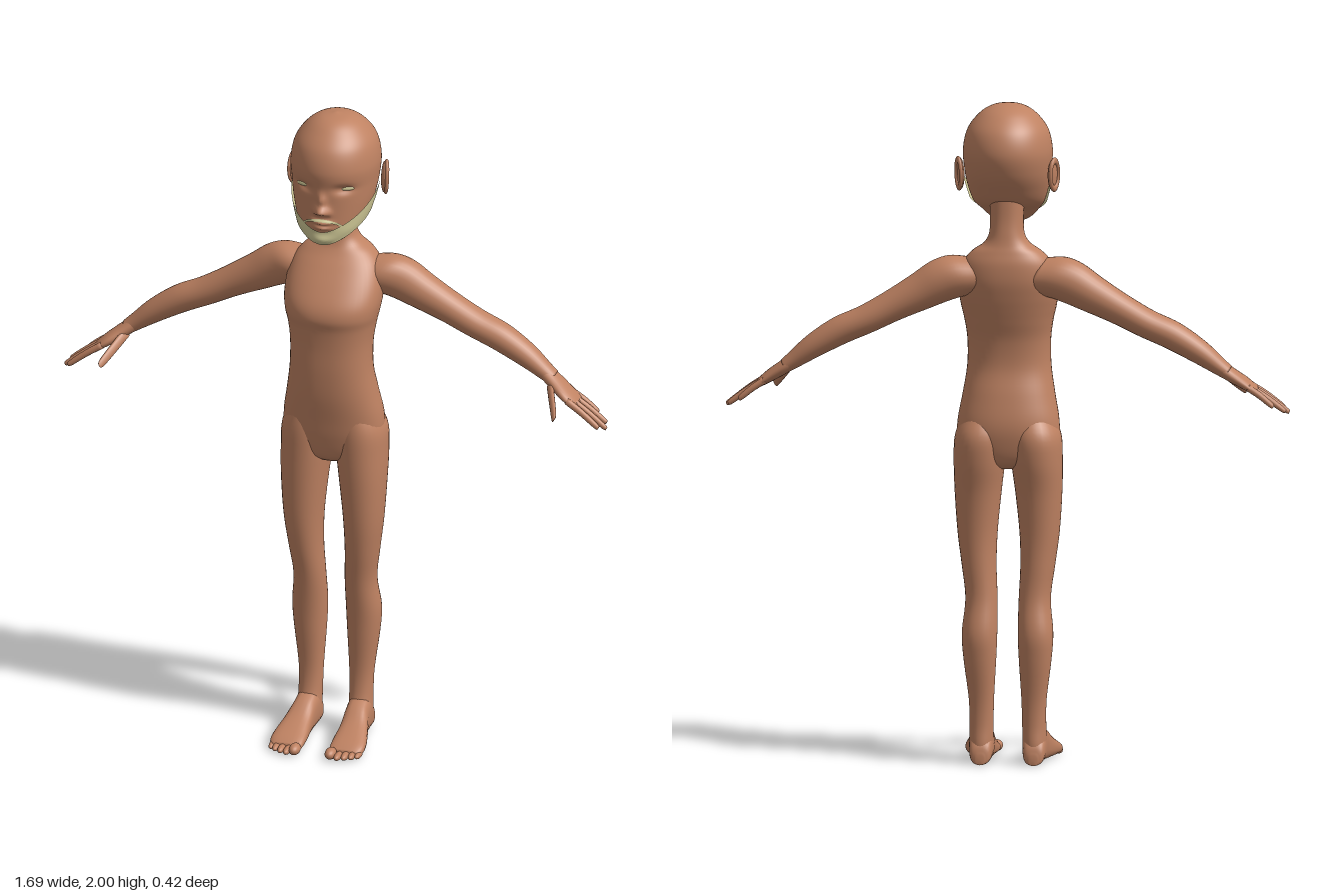
import * as THREE from 'three';

const skin = new THREE.MeshStandardMaterial({ color: 0xbf8262 });
skin.name = 'skin';
const pale = new THREE.MeshStandardMaterial({ color: 0xd2cb98, side: THREE.DoubleSide });
pale.name = 'paleKhaki';

const X = new THREE.Vector3(1, 0, 0), Y = new THREE.Vector3(0, 1, 0), Z = new THREE.Vector3(0, 0, 1);

// Horizontal section: height, half width, front z, back z, centre x
const level = (y, rx, front, back, x = 0) => [x, y, (front + back) / 2, rx, (front - back) / 2];

// Smooth surface through rings of [x, y, z, radiusA, radiusB]
function sampler(rings, a, b, power = 1) {
  const centres = new THREE.CatmullRomCurve3(rings.map(r => new THREE.Vector3(r[0], r[1], r[2])), false, 'catmullrom', 0.5);
  const radii = new THREE.CatmullRomCurve3(rings.map(r => new THREE.Vector3(r[3], r[4], 0)), false, 'catmullrom', 0.5);
  const pow = v => Math.sign(v) * Math.abs(v) ** power;
  return (t, angle) => {
    const r = radii.getPoint(t);
    return centres.getPoint(t)
      .addScaledVector(a, Math.max(r.x, 0.0005) * pow(Math.cos(angle)))
      .addScaledVector(b, Math.max(r.y, 0.0005) * pow(Math.sin(angle)));
  };
}

function meshOf(name, positions, index, material) {
  const g = new THREE.BufferGeometry();
  g.setAttribute('position', new THREE.Float32BufferAttribute(positions, 3));
  g.setIndex(index);
  g.computeVertexNormals();
  const m = new THREE.Mesh(g, material);
  m.name = name;
  return m;
}

// Closed tube over a surface function, capped at both ends
function skinTube(name, surface, forward, rows, segs) {
  const pos = [], index = [];
  const tri = (p, q, r) => index.push(...(forward ? [p, q, r] : [p, r, q]));
  for (let i = 0; i <= rows; i++)
    for (let j = 0; j < segs; j++) pos.push(...surface(i / rows, j / segs * Math.PI * 2).toArray());
  for (let i = 0; i < rows; i++)
    for (let j = 0; j < segs; j++) {
      const k = (j + 1) % segs, p = i * segs;
      tri(p + j, p + k, p + segs + k);
      tri(p + j, p + segs + k, p + segs + j);
    }
  [0, 1].forEach(t => {
    const c = pos.length / 3, base = t * rows * segs;
    pos.push(...surface(t, 0).add(surface(t, Math.PI)).multiplyScalar(0.5).toArray());
    for (let j = 0; j < segs; j++) {
      const k = (j + 1) % segs;
      if (t) tri(c, base + j, base + k); else tri(c, base + k, base + j);
    }
  });
  return meshOf(name, pos, index, skin);
}

function loft(name, rings, a, b, { side = 1, segs = 24, power = 1 } = {}) {
  const flip = v => new THREE.Vector3(v.x * side, v.y, v.z);
  const rs = rings.map(r => [r[0] * side, ...r.slice(1)]);
  const fa = flip(a), fb = flip(b), last = rs[rs.length - 1];
  const travel = new THREE.Vector3(last[0] - rs[0][0], last[1] - rs[0][1], last[2] - rs[0][2]);
  const forward = new THREE.Vector3().crossVectors(fa, fb).dot(travel) > 0;
  return skinTube(name, sampler(rs, fa, fb, power), forward, (rings.length - 1) * 5, segs);
}

// Head sections from chin to crown
const headSurface = sampler([
  level(1.625, 0.025, 0.075, 0.02), level(1.64, 0.058, 0.086, -0.005), level(1.67, 0.087, 0.09, -0.05),
  level(1.70, 0.107, 0.09, -0.125), level(1.75, 0.122, 0.089, -0.17), level(1.80, 0.13, 0.09, -0.2),
  level(1.86, 0.134, 0.097, -0.215), level(1.92, 0.121, 0.08, -0.2), level(1.965, 0.088, 0.04, -0.16),
  level(1.99, 0.05, 0, -0.115), level(2.0, 0.004, -0.055, -0.062),
], X, Z);

// Soft facial relief: x, y, spread x, spread y, depth
const relief = [
  [0, 1.74, 0.017, 0.014, 0.032], [0, 1.772, 0.012, 0.02, 0.016],
  [0.018, 1.733, 0.009, 0.009, 0.01], [-0.018, 1.733, 0.009, 0.009, 0.01],
  [0.062, 1.805, 0.026, 0.014, -0.014], [-0.062, 1.805, 0.026, 0.014, -0.014],
  [0, 1.701, 0.026, 0.007, 0.015], [0, 1.684, 0.023, 0.007, 0.012], [0, 1.645, 0.03, 0.014, 0.008],
];
function face(t, angle) {
  const p = headSurface(t, angle);
  if (Math.sin(angle) > 0) {
    let dz = 0;
    for (const [x, y, sx, sy, d] of relief) dz += d * Math.exp(-(((p.x - x) / sx) ** 2) - ((p.y - y) / sy) ** 2);
    p.z += dz * Math.min(1, Math.sin(angle) * 2);
  }
  return p;
}
function faceAt(y, angle) {
  let lo = 0, hi = 1;
  for (let i = 0; i < 24; i++) {
    const mid = (lo + hi) / 2;
    if (headSurface(mid, 0).y < y) lo = mid; else hi = mid;
  }
  return face(lo, angle);
}

// Thin plate lying on the face between two height curves
function facePlate(name, spread, lower, upper, lift) {
  const pos = [], index = [], nu = 48, nv = 8;
  for (let i = 0; i <= nu; i++)
    for (let j = 0; j <= nv; j++) {
      const s = i / nu * 2 - 1, t = Math.abs(s), angle = Math.PI / 2 - s * spread;
      const p = faceAt(THREE.MathUtils.lerp(lower(t), upper(t), j / nv), angle);
      pos.push(p.x + Math.cos(angle) * lift, p.y - (j ? 0 : lift * 0.5), p.z + Math.sin(angle) * lift);
    }
  for (let i = 0; i < nu; i++)
    for (let j = 0; j < nv; j++) {
      const p = i * (nv + 1) + j, q = p + nv + 1;
      index.push(p, q, q + 1, p, q + 1, p + 1);
    }
  return meshOf(name, pos, index, pale);
}

function ellipsoid(name, material, at, scale) {
  const m = new THREE.Mesh(new THREE.SphereGeometry(1, 24, 16), material);
  m.name = name;
  m.position.set(...at);
  m.scale.set(...scale);
  return m;
}

function createHead() {
  const head = new THREE.Group();
  head.name = 'head';
  head.add(skinTube('skull', face, false, 96, 96));
  head.add(facePlate('jawPlate', 1.68, t => 1.629 + 0.085 * t ** 2.2, t => 1.671 + 0.12 * t ** 1.6, 0.006));
  head.add(facePlate('upperLipPlate', 0.62, t => 1.707 - 0.02 * t * t, t => 1.713 - 0.022 * t * t, 0.004));
  for (const s of [1, -1]) {
    const angle = Math.PI / 2 - s * 0.56;
    const eye = ellipsoid('eye', pale, faceAt(1.806, angle).toArray(), [0.021, 0.007, 0.005]);
    eye.rotation.y = s * 0.4;
    head.add(eye);
    // Ear shell with a raised rim
    const ear = new THREE.Group();
    ear.name = 'ear';
    ear.position.set(s * 0.138, 1.79, -0.098);
    ear.rotation.set(-0.15, s * 0.4, 0);
    ear.add(ellipsoid('earShell', skin, [0, 0, 0], [0.009, 0.048, 0.026]));
    const rim = new THREE.Mesh(new THREE.TorusGeometry(0.024, 0.006, 10, 32), skin);
    rim.name = 'earRim';
    rim.rotation.y = Math.PI / 2;
    rim.scale.y = 1.8;
    rim.position.x = s * 0.006;
    ear.add(rim);
    head.add(ear);
  }
  return head;
}

function createArm(side) {
  const arm = new THREE.Group();
  arm.name = side > 0 ? 'leftArm' : 'rightArm';
  const across = new THREE.Vector3(0.52, 0.854, 0);
  arm.add(loft('armLimb', [
    [0.08, 1.485, -0.088, 0.06, 0.06], [0.14, 1.482, -0.093, 0.068, 0.068], [0.195, 1.465, -0.1, 0.063, 0.066],
    [0.26, 1.43, -0.103, 0.056, 0.057], [0.34, 1.388, -0.106, 0.051, 0.048], [0.42, 1.346, -0.108, 0.05, 0.044],
    [0.5, 1.31, -0.108, 0.047, 0.043], [0.58, 1.262, -0.107, 0.041, 0.036], [0.64, 1.218, -0.104, 0.033, 0.026],
    [0.665, 1.2, -0.101, 0.032, 0.022],
  ], Z, across, { side, segs: 28 }));
  arm.add(loft('palm', [
    [0.635, 1.22, -0.104, 0.03, 0.022], [0.67, 1.195, -0.096, 0.038, 0.021], [0.71, 1.168, -0.081, 0.046, 0.018],
    [0.74, 1.147, -0.076, 0.045, 0.013], [0.752, 1.139, -0.075, 0.036, 0.007],
  ], Z, across, { side }));
  // Fingers and thumb
  const digit = (name, from, mid, to, r) => {
    const v = [from, mid, to], rs = [r, r * 0.95, r * 0.75];
    const rings = v.map((p, i) => [...p, rs[i], rs[i]]);
    const tip = to.map((c, i) => c + (c - mid[i]) * 0.12);
    arm.add(loft(name, [...rings, [...tip, 0.001, 0.001]], Z, across, { side, segs: 12 }));
  };
  [[0.798, 1.103, -0.115], [0.83, 1.086, -0.086], [0.838, 1.08, -0.056], [0.822, 1.09, -0.029]].forEach((tip, i) => {
    const root = [0.725, 1.157, -0.112 + i * 0.024];
    digit('finger', root, root.map((c, k) => (c + tip[k]) / 2 + (k === 1 ? 0.003 : 0)), tip, 0.0105);
  });
  digit('thumb', [0.66, 1.192, -0.08], [0.685, 1.158, -0.022], [0.707, 1.128, 0.03], 0.015);
  return arm;
}

function createLeg(side) {
  const leg = new THREE.Group();
  leg.name = side > 0 ? 'leftLeg' : 'rightLeg';
  leg.add(loft('legLimb', [
    level(1.07, 0.05, 0.045, -0.11, 0.075), level(1.0, 0.076, 0.052, -0.148, 0.082), level(0.92, 0.077, 0.05, -0.145, 0.086),
    level(0.82, 0.07, 0.045, -0.123, 0.091), level(0.7, 0.06, 0.036, -0.108, 0.093), level(0.6, 0.052, 0.022, -0.104, 0.088),
    level(0.5, 0.048, 0.003, -0.106, 0.08), level(0.4, 0.053, -0.012, -0.125, 0.084), level(0.32, 0.049, -0.02, -0.119, 0.083),
    level(0.2, 0.038, -0.028, -0.1, 0.079), level(0.12, 0.036, -0.02, -0.096, 0.079), level(0.06, 0.036, 0, -0.1, 0.08),
    level(0.02, 0.03, -0.01, -0.095, 0.08),
  ], X, Z, { side, segs: 32, power: 0.95 }));
  // Foot sections from heel to ball: z, height, half width, centre x
  const foot = [[-0.107, 0.03, 0.012, 0.08], [-0.095, 0.065, 0.03, 0.08], [-0.05, 0.115, 0.037, 0.08], [0, 0.105, 0.038, 0.082],
    [0.05, 0.074, 0.044, 0.088], [0.1, 0.052, 0.051, 0.092], [0.14, 0.036, 0.052, 0.093], [0.165, 0.022, 0.045, 0.09]];
  leg.add(loft('foot', foot.map(([z, h, w, x]) => [x, h / 2 + 0.002, z, w, h / 2]), X, Y, { side, power: 0.75 }));
  // Toes, largest on the inner side
  [[0.056, 0.19, 0.017], [0.079, 0.19, 0.011], [0.099, 0.183, 0.011], [0.118, 0.173, 0.0105], [0.134, 0.16, 0.01]].forEach(([x, z, r]) => {
    leg.add(ellipsoid('toe', skin, [x * side, r + 0.002, z - 0.008], [r, r, 0.028]));
  });
  return leg;
}

export function createModel() {
  const model = new THREE.Group();
  model.name = 'mannequin';
  model.add(loft('torso', [
    level(0.895, 0.05, 0.015, -0.085), level(0.92, 0.11, 0.038, -0.12), level(0.98, 0.15, 0.054, -0.138),
    level(1.04, 0.152, 0.064, -0.142), level(1.12, 0.138, 0.077, -0.128), level(1.2, 0.126, 0.083, -0.11),
    level(1.28, 0.125, 0.085, -0.115), level(1.34, 0.133, 0.09, -0.132), level(1.38, 0.142, 0.098, -0.144),
    level(1.42, 0.148, 0.088, -0.155), level(1.47, 0.147, 0.055, -0.165), level(1.52, 0.133, 0.015, -0.165),
    level(1.555, 0.105, -0.015, -0.157), level(1.58, 0.07, -0.03, -0.15), level(1.61, 0.053, -0.036, -0.145),
    level(1.66, 0.05, -0.035, -0.14), level(1.74, 0.052, -0.03, -0.14),
  ], X, Z, { segs: 48, power: 0.88 }));
  model.add(createHead());
  for (const side of [1, -1]) model.add(createArm(side), createLeg(side));
  return model;
}
